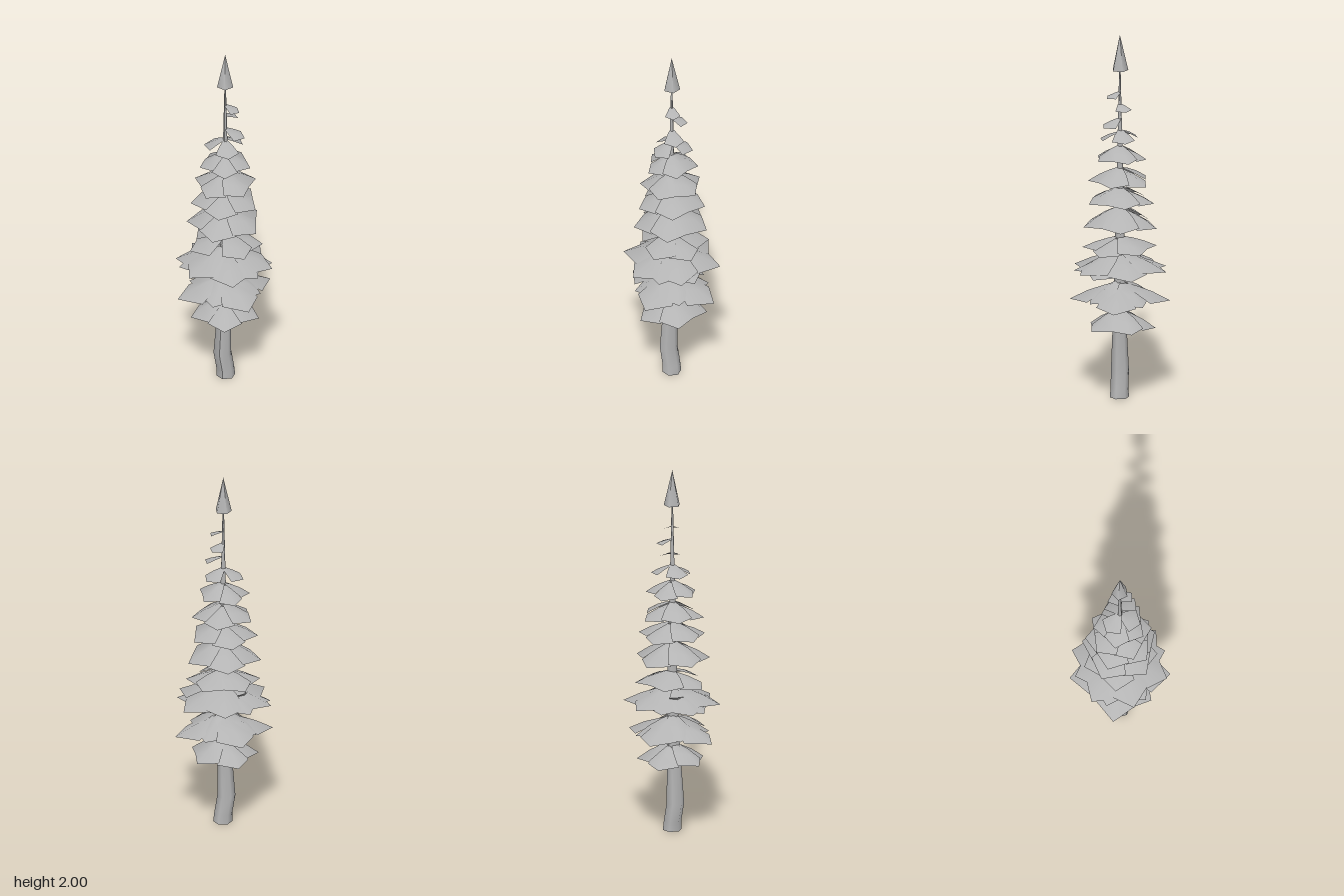
import * as THREE from 'three';

const grey = new THREE.MeshStandardMaterial({ color: 0xb4b4b4, side: THREE.DoubleSide });
grey.name = 'plain grey';

// Trunk stations: height, centre x, centre z, radius
const STATIONS = [
  [0, 0.003, 0, 0.051], [0.05, 0.001, 0.002, 0.048], [0.15, -0.011, 0.014, 0.048],
  [0.4, -0.004, 0.008, 0.037], [0.75, 0, 0, 0.029], [1.1, 0, 0, 0.021],
  [1.45, 0, 0, 0.012], [1.81, 0, 0, 0.004],
];

function makeTrunk() {
  const g = new THREE.CylinderGeometry(1, 1, 1, 6, STATIONS.length - 1);
  const p = g.attributes.position;
  for (let i = 0; i < p.count; i++) {
    const k = Math.round((p.getY(i) + 0.5) * (STATIONS.length - 1));
    const [y, cx, cz, r] = STATIONS[k];
    p.setXYZ(i, cx + p.getX(i) * r, y, cz + p.getZ(i) * r);
  }
  g.computeVertexNormals();
  const m = new THREE.Mesh(g, grey);
  m.name = 'trunk';
  return m;
}

// One drooping frond along +x: narrow root, ridge, wide shoulders, pointed tip
function frondGeometry(len, drop, width) {
  const w = len * width;
  const v = [
    [0, 0, -0.012], [0, 0, 0], [0, 0, 0.012],
    [len * 0.3, -drop * 0.4, -w * 0.62], [len * 0.3, -drop * 0.17, 0], [len * 0.3, -drop * 0.4, w * 0.62],
    [len * 0.62, -drop * 0.9, -w], [len * 0.64, -drop * 0.5, 0], [len * 0.62, -drop * 0.9, w],
    [len, -drop, 0],
  ];
  const idx = [];
  for (let r = 0; r < 2; r++) {
    for (let c = 0; c < 2; c++) {
      const a = r * 3 + c;
      idx.push(a, a + 1, a + 3, a + 1, a + 4, a + 3);
    }
  }
  idx.push(6, 7, 9, 7, 8, 9);
  const g = new THREE.BufferGeometry();
  g.setAttribute('position', new THREE.Float32BufferAttribute(v.flat(), 3));
  g.setIndex(idx);
  g.computeVertexNormals();
  return g;
}

// Whorls: root height, droop, length, half-width share, frond directions in degrees (0 = +x, 90 = +z)
const ring = (n, phase) => Array.from({ length: n }, (_, i) => phase + (i * 360) / n);
const TIERS = [
  [0.49, 0.1, 0.19, 0.48, ring(5, 0)],
  [0.635, 0.1, 0.268, 0.4, [43, 141, 219, 314]],
  [0.65, 0.105, 0.2, 0.45, ring(4, 0)],
  [0.655, -0.12, 0.14, 0.5, [180]], // upturned frond
  [0.79, 0.08, 0.25, 0.4, [27, 150, 206, 342]],
  [0.81, 0.095, 0.265, 0.42, [0, 62, 117, 168, 239, 294]],
  [0.89, 0.065, 0.2, 0.46, [-85, -20, 40, 140, 205]],
  [1.055, 0.1, 0.205, 0.5, ring(5, 18)],
  [1.16, 0.075, 0.185, 0.5, ring(5, 10)],
  [1.27, 0.075, 0.17, 0.5, ring(5, 36)],
  [1.39, 0.07, 0.142, 0.48, ring(5, 0)],
  [1.475, 0.05, 0.115, 0.55, [172, 62, 292]],
  [1.54, 0.04, 0.11, 0.5, [0]],
  [1.617, 0.026, 0.085, 0.55, [-75]],
  [1.685, 0.027, 0.082, 0.5, [5]],
];

export function createModel() {
  const tree = new THREE.Group();
  tree.name = 'coniferTree';
  tree.add(makeTrunk());

  TIERS.forEach(([y, drop, len, width, angles], t) => {
    const whorl = new THREE.Group();
    whorl.name = `branchWhorl${t + 1}`;
    whorl.position.y = y;
    const g = frondGeometry(len, drop, width);
    angles.forEach((deg, i) => {
      const frond = new THREE.Mesh(g, grey);
      frond.name = `frond${i + 1}`;
      frond.rotation.y = -THREE.MathUtils.degToRad(deg);
      // Slight uneven lift so neighbours overlap
      frond.position.y = (i % 2) * -0.01;
      whorl.add(frond);
    });
    tree.add(whorl);
  });

  // Pointed crown, one corner towards +x
  const crown = new THREE.Mesh(new THREE.ConeGeometry(0.045, 0.195, 5), grey);
  crown.name = 'crownTip';
  crown.rotation.y = Math.PI / 2;
  crown.position.y = 1.9025;
  tree.add(crown);
  return tree;
}
